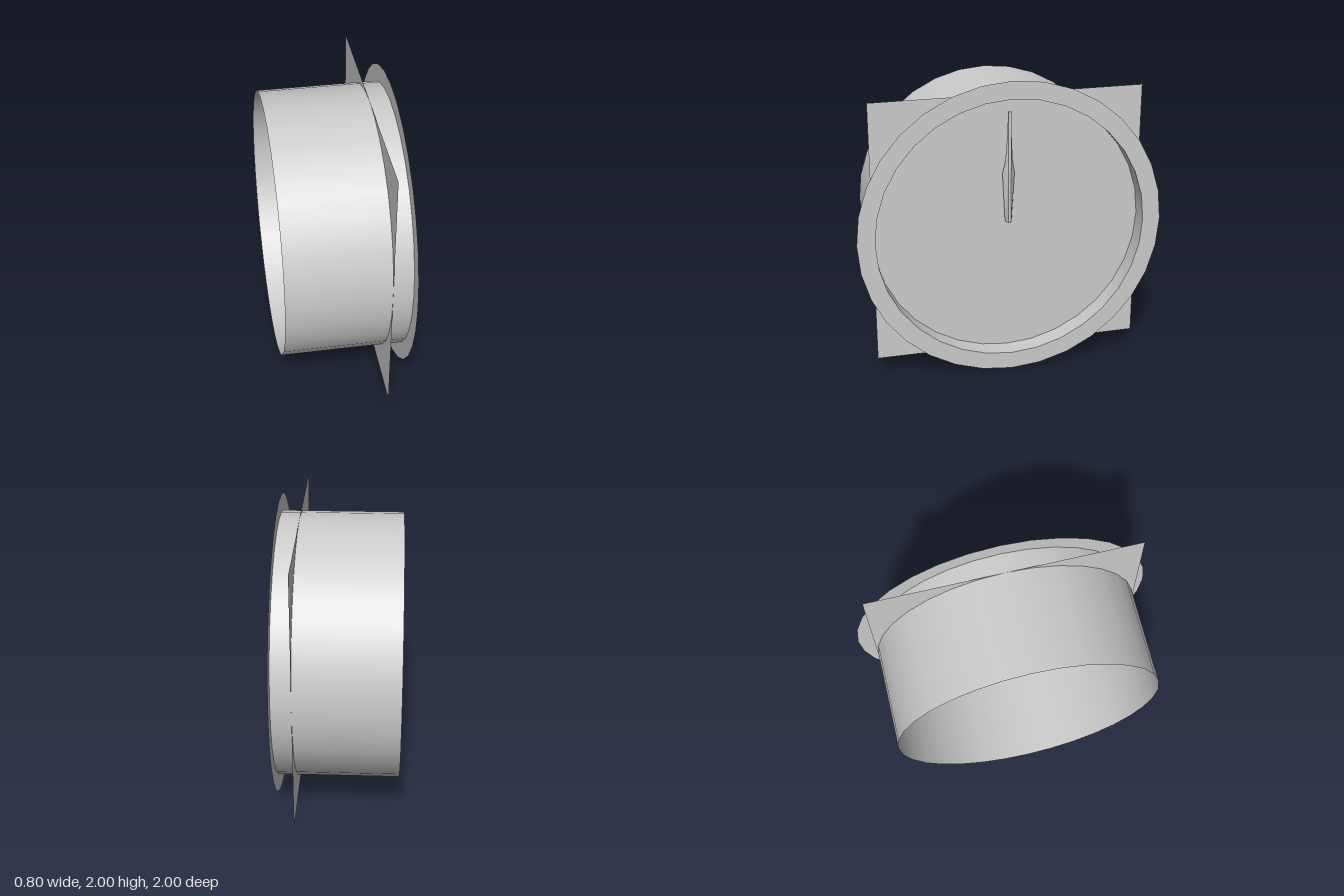
import * as THREE from 'three';

const RADIUS = 0.883, DEPTH = 0.8, SIDES = 32, CENTRE_Y = 1, FACE_X = 0.27;

// Tapered hand: a flat-ridged blade lofted through four-point sections
function handGeometry() {
  // [height, half width at base, base offset from the face]
  const sections = [
    [1.03, 0.022, 0.018],
    [1.36, 0.04, 0.018],
    [1.44, 0.025, 0.03],
    [1.6, 0.015, 0.04],
    [1.78, 0.01, 0.045],
  ];
  const ridge = 0.055, ridgeHalf = 0.009;
  const loops = sections.map(([y, w, base]) => [
    [base, y, w], [ridge, y, ridgeHalf], [ridge, y, -ridgeHalf], [base, y, -w],
  ]);
  const positions = [];
  const quad = (a, b, c, d) => positions.push(...a, ...b, ...c, ...a, ...c, ...d);
  for (let i = 0; i < loops.length - 1; i++) {
    const low = loops[i], high = loops[i + 1];
    for (let j = 0; j < 4; j++) {
      const k = (j + 1) % 4;
      quad(low[j], low[k], high[k], high[j]);
    }
  }
  const [a, b, c, d] = loops[0];
  quad(a, d, c, b);
  quad(...loops[loops.length - 1]);
  const geometry = new THREE.BufferGeometry();
  geometry.setAttribute('position', new THREE.Float32BufferAttribute(positions, 3));
  geometry.computeVertexNormals();
  return geometry;
}

export function createModel() {
  const group = new THREE.Group();
  group.name = 'gauge';
  const grey = new THREE.MeshStandardMaterial({ color: 0xcccccc, side: THREE.DoubleSide });
  grey.name = 'light grey';

  const add = (name, geometry, x, y) => {
    const mesh = new THREE.Mesh(geometry, grey);
    mesh.name = name;
    mesh.position.set(x, y, 0);
    group.add(mesh);
  };

  // Open tubular housing along x
  add('housing', new THREE.CylinderGeometry(RADIUS, RADIUS, DEPTH, SIDES, 1, true).rotateZ(-Math.PI / 2), 0, CENTRE_Y);
  // Flat flange around the open end
  add('bezel', new THREE.RingGeometry(RADIUS, 1, SIDES).rotateY(Math.PI / 2), DEPTH / 2, CENTRE_Y);
  // Square dial sheet passing through the housing
  add('dialPlate', new THREE.PlaneGeometry(RADIUS * 2, RADIUS * 2).rotateY(Math.PI / 2), FACE_X, CENTRE_Y);
  // Pointer standing just off the dial
  add('hand', handGeometry(), FACE_X, 0);

  return group;
}
